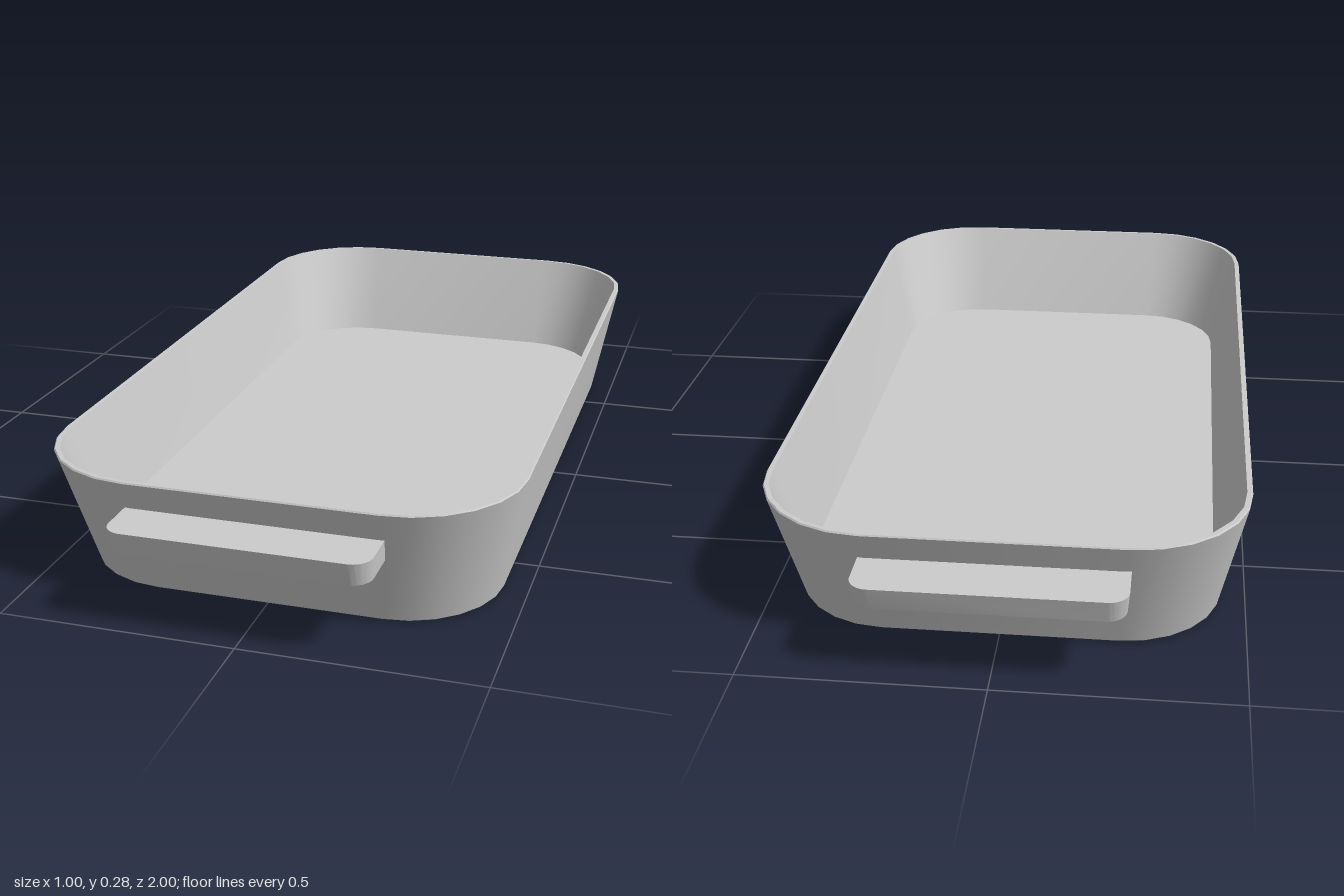
import * as THREE from 'three';
import { toCreasedNormals } from 'three/addons/utils/BufferGeometryUtils.js';

const material = new THREE.MeshStandardMaterial({ color: 0xcccccc });
const CORNER_STEPS = 6;

// Rounded rectangle ring at height y: half width, half length, corner radius
function ring([y, w, l, r]) {
  const points = [];
  for (let corner = 0; corner < 4; corner++) {
    const sx = corner === 0 || corner === 3 ? 1 : -1;
    const sz = corner < 2 ? 1 : -1;
    for (let i = 0; i <= CORNER_STEPS; i++) {
      const a = (corner + i / CORNER_STEPS) * Math.PI / 2;
      points.push([sx * (w - r) + r * Math.cos(a), y, sz * (l - r) + r * Math.sin(a)]);
    }
  }
  return points;
}

// Skin through the rings, closed by a flat fan at the first and last ring
function loft(sections) {
  const rings = sections.map(ring);
  const pos = [];
  const tri = (a, b, c) => pos.push(...a, ...b, ...c);
  const n = rings[0].length;
  const last = rings.length - 1;
  const start = [0, sections[0][0], 0];
  const end = [0, sections[last][0], 0];
  for (let j = 0; j < n; j++) {
    const k = (j + 1) % n;
    tri(start, rings[0][j], rings[0][k]);
    for (let i = 0; i < last; i++) {
      const a = rings[i], b = rings[i + 1];
      tri(a[j], b[j], a[k]);
      tri(a[k], b[j], b[k]);
    }
    tri(end, rings[last][k], rings[last][j]);
  }
  const geometry = new THREE.BufferGeometry();
  geometry.setAttribute('position', new THREE.Float32BufferAttribute(pos, 3));
  return toCreasedNormals(geometry, 0.5);
}

// Flat grip with rounded outer corners, narrowing towards its underside
function handleGeometry() {
  const w = 0.267, inner = 0.878, outer = 1, r = 0.04, bottom = 0.162, height = 0.051;
  const shape = new THREE.Shape();
  shape.moveTo(-w, -inner);
  shape.lineTo(-w, -(outer - r));
  shape.absarc(-w + r, -(outer - r), r, Math.PI, Math.PI * 1.5);
  shape.absarc(w - r, -(outer - r), r, Math.PI * 1.5, Math.PI * 2);
  shape.lineTo(w, -inner);
  const geometry = new THREE.ExtrudeGeometry(shape, { depth: height, bevelEnabled: false, curveSegments: 6 });
  geometry.rotateX(-Math.PI / 2);
  geometry.translate(0, bottom, 0);
  const p = geometry.attributes.position;
  for (let i = 0; i < p.count; i++) {
    if (p.getY(i) < bottom + height / 2) {
      p.setX(i, p.getX(i) * 0.985);
      p.setZ(i, p.getZ(i) - 0.014);
    }
  }
  return toCreasedNormals(geometry, 0.5);
}

export function createModel() {
  const group = new THREE.Group();

  // Dish: recessed underside, foot edge, outer wall, rim, inner wall, raised floor
  const dish = new THREE.Mesh(loft([
    [0.01, 0.428, 0.796, 0.188],
    [0, 0.432, 0.8, 0.192],
    [0, 0.442, 0.811, 0.2],
    [0.004, 0.447, 0.816, 0.203],
    [0.274, 0.5, 0.91, 0.24],
    [0.277, 0.498, 0.908, 0.239],
    [0.277, 0.488, 0.9, 0.232],
    [0.055, 0.432, 0.8, 0.19],
  ]), material);
  dish.name = 'dish';
  group.add(dish);

  // One handle at each end
  const geometry = handleGeometry();
  for (const [name, turn] of [['frontHandle', 0], ['backHandle', Math.PI]]) {
    const handle = new THREE.Mesh(geometry, material);
    handle.name = name;
    handle.rotation.y = turn;
    group.add(handle);
  }
  return group;
}
